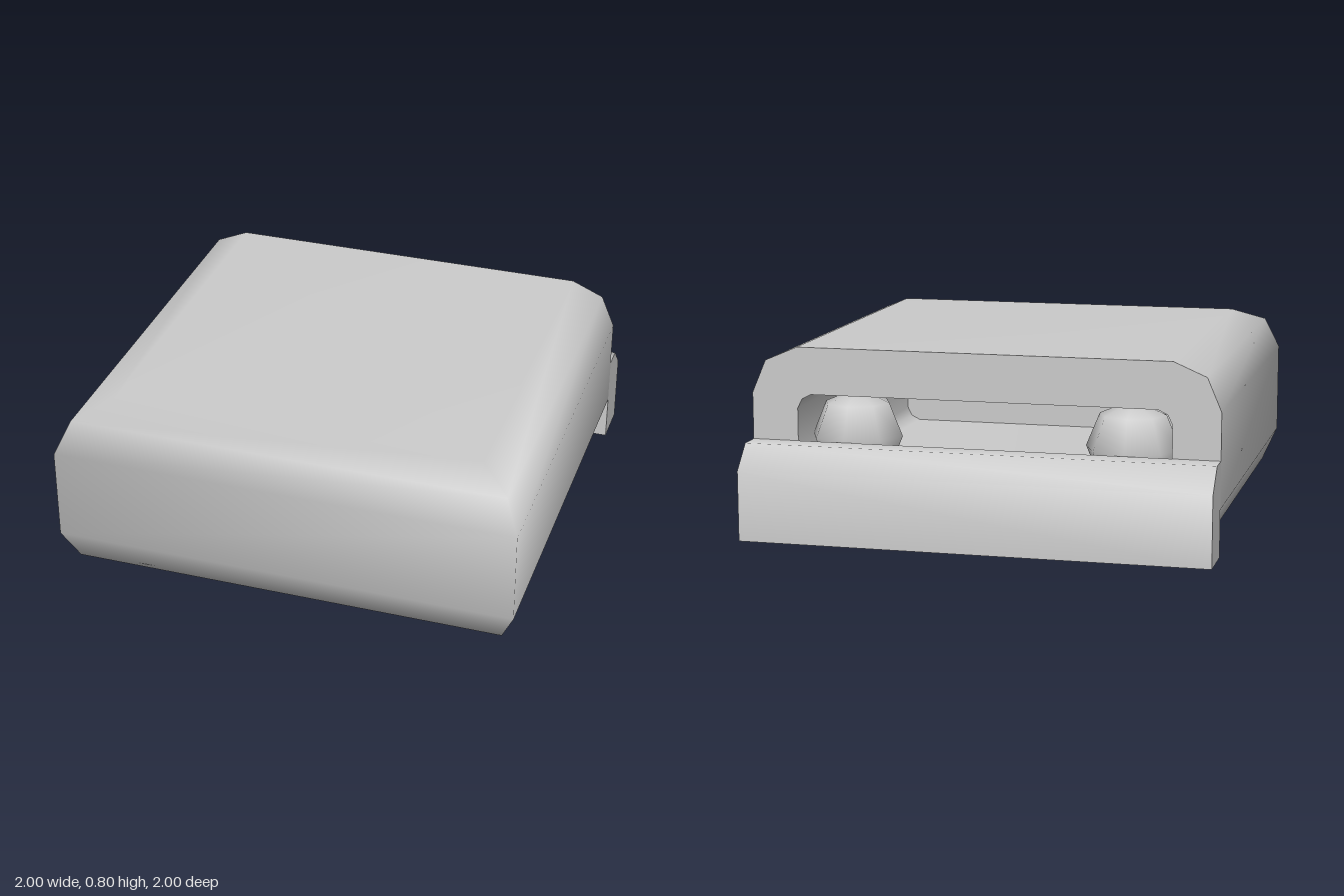
import * as THREE from 'three';
import { toCreasedNormals } from 'three/addons/utils/BufferGeometryUtils.js';

const material = new THREE.MeshStandardMaterial({ color: 0xcccccc });
const BACK = -0.8;

// Skin between equal-length cross-sections, with optional wrap and end caps
function loft(rings, { closed = false, capStart = false, capEnd = false } = {}) {
  const n = rings[0].length;
  const index = [];
  for (let r = 0; r < rings.length - 1; r++) {
    for (let i = 0; i < (closed ? n : n - 1); i++) {
      const a = r * n + i, b = r * n + (i + 1) % n;
      index.push(a, b, b + n, a, b + n, a + n);
    }
  }
  const last = (rings.length - 1) * n;
  for (let i = 1; i < n - 1; i++) {
    if (capStart) index.push(0, i + 1, i);
    if (capEnd) index.push(last, last + i, last + i + 1);
  }
  const geometry = new THREE.BufferGeometry();
  geometry.setAttribute('position', new THREE.Float32BufferAttribute(rings.flat(2), 3));
  geometry.setIndex(index);
  geometry.computeVertexNormals();
  return geometry;
}

export function createModel() {
  const model = new THREE.Group();
  const add = (name, geometry) => {
    const mesh = new THREE.Mesh(geometry, material);
    mesh.name = name;
    model.add(mesh);
    return mesh;
  };

  // Half width and height of the rounded side profile, bottom to top
  const profile = [[0.8, 0], [0.94, 0.06], [1, 0.2], [1, 0.6], [0.94, 0.74], [0.8, 0.8]];

  // Outer shell: rounded left, right and front, flat at the back
  add('bodyShell', loft(
    profile.map(([w, y]) => [[-w, y, BACK], [-w, y, w], [w, y, w], [w, y, BACK]]),
    { capStart: true, capEnd: true }));

  // Opening outline, counter-clockwise, with small chamfered corners
  const lower = [[0.74, 0.2], [0.78, 0.22], [0.8, 0.26]];
  const right = [...lower, ...lower.map(([x, y]) => [x, 0.8 - y]).reverse()];
  const opening = [...right, ...right.map(([x, y]) => [-x, y]).reverse()];

  // Flat rim around the opening
  const outline = [...profile, ...profile.map(([x, y]) => [-x, y]).reverse()];
  const toPoints = (list) => list.map(([x, y]) => new THREE.Vector2(x, y));
  const rim = new THREE.Shape(toPoints(outline));
  rim.holes.push(new THREE.Path(toPoints(opening)));
  add('backRim', new THREE.ShapeGeometry(rim).rotateY(Math.PI).translate(0, 0, BACK));

  // Hollow inside, walls facing inward
  const cavity = loft([0.8, BACK].map((z) => opening.map(([x, y]) => [x, y, z])),
    { closed: true, capStart: true });
  add('cavity', toCreasedNormals(cavity, 0.9));

  // Ball studs just inside the opening
  for (const side of [-1, 1]) {
    const ball = add(side < 0 ? 'rightBall' : 'leftBall', new THREE.SphereGeometry(0.2, 8, 4));
    ball.position.set(0.6 * side, 0.4, -0.6);
  }

  // Chamfered bar across the back
  const barProfile = [[BACK, 0], [BACK, 0.4], [-0.9, 0.4], [-1, 0.3], [-1, 0]];
  const bar = loft([1, -1].map((x) => barProfile.map(([z, y]) => [x, y, z])),
    { closed: true, capStart: true, capEnd: true });
  // Keep the loop order facing outward
  add('backBar', toCreasedNormals(bar, 0.9));

  return model;
}
